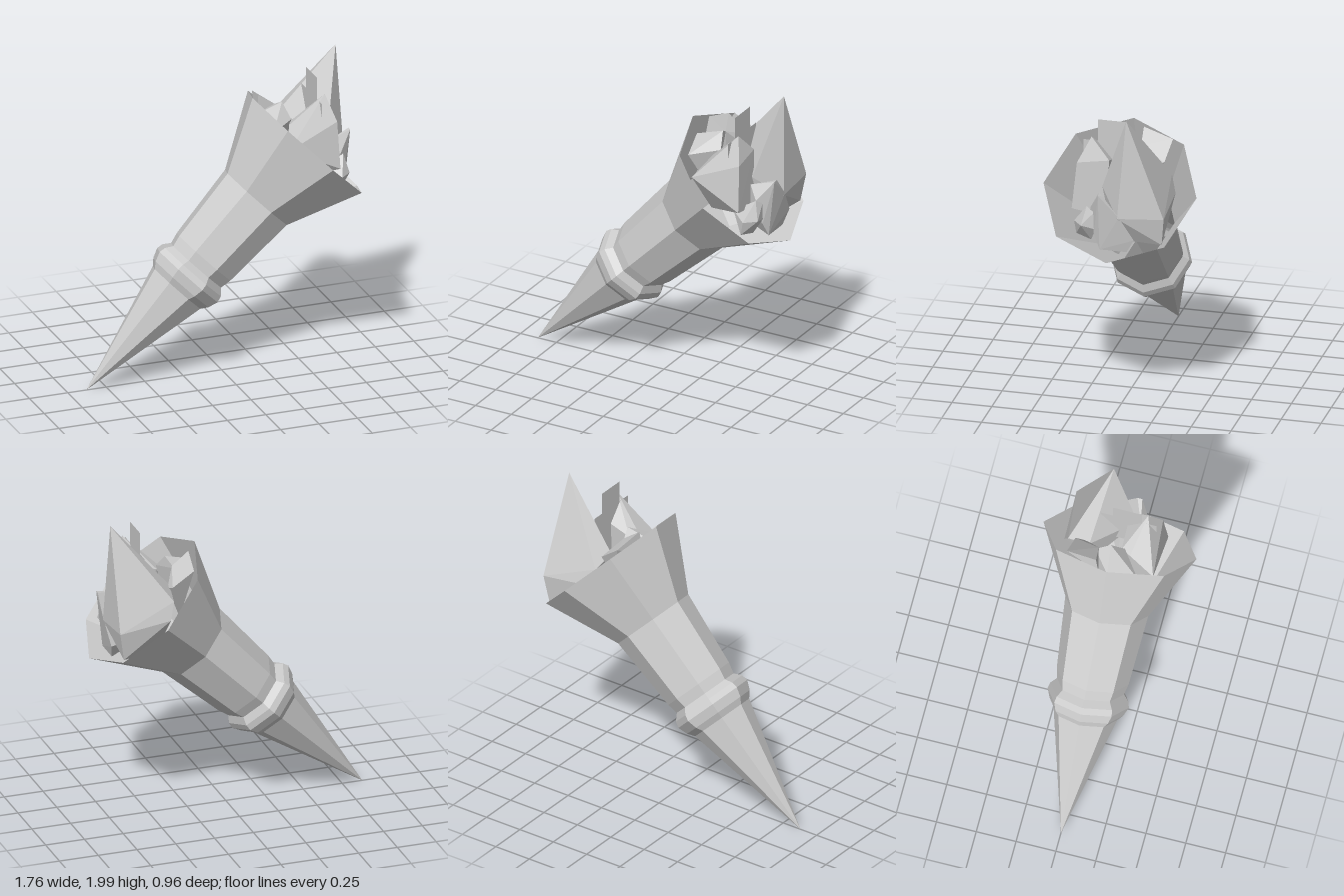
import * as THREE from 'three';
import { ConvexGeometry } from 'three/addons/geometries/ConvexGeometry.js';

const material = new THREE.MeshStandardMaterial({ color: 0xcccccc, flatShading: true });
const thinMaterial = new THREE.MeshStandardMaterial({ color: 0xcccccc, flatShading: true, side: THREE.DoubleSide });

// Eight-sided horn: [radius, distance from the tip]
const hornProfile = [
  [0, 0], [0.2, 0.83], [0.232, 0.87], [0.255, 0.93], [0.245, 0.97],
  [0.21, 1.01], [0.225, 1.08], [0.26, 1.56], [0.48, 2.01],
];

// Faceted pieces held in the mouth, given by their corners
const crystals = {
  tallShard: [
    [0.78, 2.0, -0.1], [0.8, 1.38, -0.34], [0.77, 1.2, -0.32], [0.81, 1.36, -0.05],
    [0.66, 1.5, 0.08], [0.44, 1.53, -0.3], [0.47, 1.42, -0.33], [0.42, 1.58, -0.16],
    [0.5, 1.15, -0.15], [0.7, 1.18, 0],
  ],
  middleCrystal: [
    [0.61, 1.8, 0.16], [0.66, 1.64, 0.24], [0.67, 1.34, 0.27], [0.65, 1.67, 0.04],
    [0.4, 1.6, 0.1], [0.34, 1.5, 0.26], [0.43, 1.6, 0.04], [0.66, 1.3, 0.06],
    [0.4, 1.25, 0.12],
  ],
  frontStone: [
    [0.81, 1.5, 0.07], [0.66, 1.46, 0.1], [0.72, 1.38, 0.14], [0.75, 1.22, 0.11],
    [0.77, 1.13, 0.07], [0.77, 1.13, -0.1], [0.79, 1.22, -0.15], [0.81, 1.37, -0.06],
    [0.81, 1.5, 0.04], [0.5, 1.2, 0],
  ],
  smallStone: [
    [0.73, 1.39, 0.16], [0.75, 1.36, 0.11], [0.75, 1.25, 0.1], [0.7, 1.16, 0.14],
    [0.67, 1.18, 0.24], [0.69, 1.27, 0.25], [0.76, 1.27, 0.19], [0.58, 1.3, 0.17],
  ],
  backStone: [
    [0.27, 1.75, -0.08], [0.3, 1.7, -0.27], [0.43, 1.6, -0.25], [0.44, 1.57, -0.18],
    [0.38, 1.67, -0.09], [0.25, 1.6, -0.06], [0.35, 1.35, -0.15],
  ],
  innerStone: [
    [0.4, 1.71, -0.02], [0.23, 1.66, 0], [0.37, 1.66, -0.11], [0.43, 1.62, 0.06],
    [0.27, 1.6, 0.18], [0.27, 1.55, -0.06], [0.36, 1.3, 0.03],
  ],
};

// Stepped outline of the thin upright plate, drawn as (z, y)
const plateOutline = [
  [-0.13, 1.4], [0.22, 1.4], [0.22, 1.76], [0.13, 1.76],
  [0.13, 1.9], [-0.05, 1.9], [-0.05, 1.76], [-0.13, 1.76],
];

export function createModel() {
  const model = new THREE.Group();

  function add(name, geometry, mat = material) {
    const mesh = new THREE.Mesh(geometry, mat);
    mesh.name = name;
    model.add(mesh);
    return mesh;
  }

  // Horn leaning 45 degrees, open at the mouth
  const points = hornProfile.map(([r, h]) => new THREE.Vector2(r, h));
  const horn = add('horn', new THREE.LatheGeometry(points, 8), thinMaterial);
  horn.rotation.z = -Math.PI / 4;
  horn.position.set(-0.88, 0.01, 0);

  // Crystals and stones
  for (const [name, corners] of Object.entries(crystals)) {
    add(name, new ConvexGeometry(corners.map((c) => new THREE.Vector3(...c))));
  }

  // Thin plate standing between the crystals, facing along x
  const outline = new THREE.Shape(plateOutline.map(([z, y]) => new THREE.Vector2(-z, y)));
  const plate = add('steppedPlate', new THREE.ShapeGeometry(outline), thinMaterial);
  plate.rotation.y = Math.PI / 2;
  plate.position.x = 0.57;

  return model;
}
